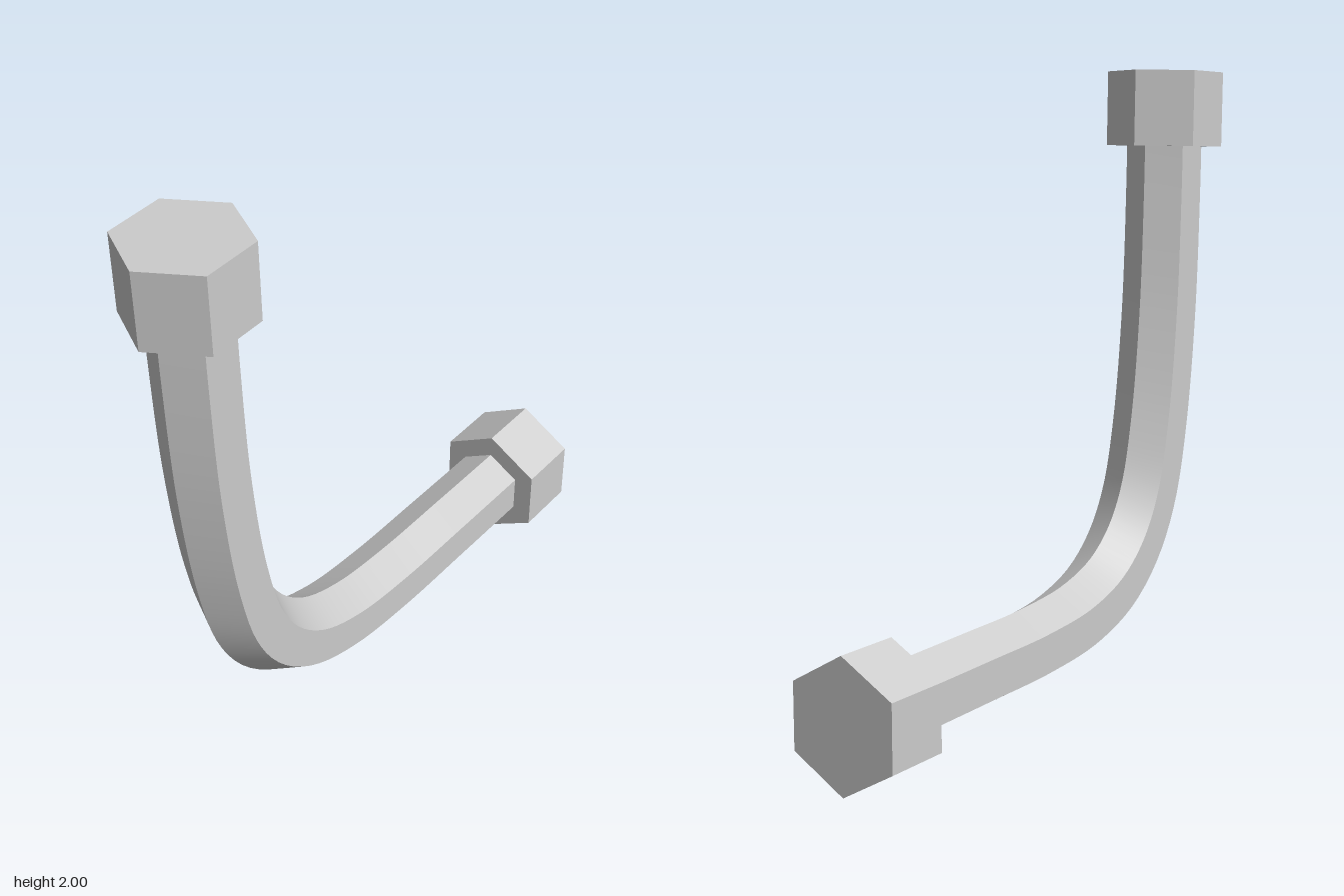
import * as THREE from 'three';
import { toCreasedNormals } from 'three/addons/utils/BufferGeometryUtils.js';

export function createModel() {
  const model = new THREE.Group();
  const grey = new THREE.MeshStandardMaterial({ color: 0xcccccc });
  const flatGrey = new THREE.MeshStandardMaterial({ color: 0xcccccc, flatShading: true });

  // Hexagonal tube swept along an L-shaped bend, ridges inside and outside the bend
  const path = new THREE.CatmullRomCurve3([
    [-0.754, 1.85], [-0.748, 1.6], [-0.726, 1.2], [-0.676, 0.83], [-0.61, 0.59],
    [-0.515, 0.435], [-0.375, 0.32], [-0.18, 0.25], [0.08, 0.22], [0.4, 0.213], [0.83, 0.207],
  ].map(([x, y]) => new THREE.Vector3(x, y, 0)), false, 'centripetal');
  const section = new THREE.Shape();
  for (let i = 0; i < 6; i++) {
    const a = Math.PI / 2 + (i * Math.PI) / 3;
    section[i ? 'lineTo' : 'moveTo'](0.124 * Math.cos(a), 0.124 * Math.sin(a));
  }
  section.closePath();
  const tubeGeometry = new THREE.ExtrudeGeometry(section, { steps: 64, extrudePath: path, bevelEnabled: false });
  const tube = new THREE.Mesh(toCreasedNormals(tubeGeometry, 0.5), grey);
  tube.name = 'bentTube';
  model.add(tube);

  // Hexagonal nuts closing both ends
  const addNut = (name, radius, length, x, y, tilt) => {
    const geometry = new THREE.CylinderGeometry(radius, radius, length, 6, 1, false, Math.PI / 2);
    const nut = new THREE.Mesh(geometry, flatGrey);
    nut.name = name;
    nut.position.set(x, y, 0);
    nut.rotation.z = tilt;
    model.add(nut);
  };
  addNut('upperNut', 0.191, 0.244, -0.753, 1.874, 0.022);
  addNut('lowerNut', 0.202, 0.217, 0.833, 0.206, -Math.PI / 2);

  return model;
}
